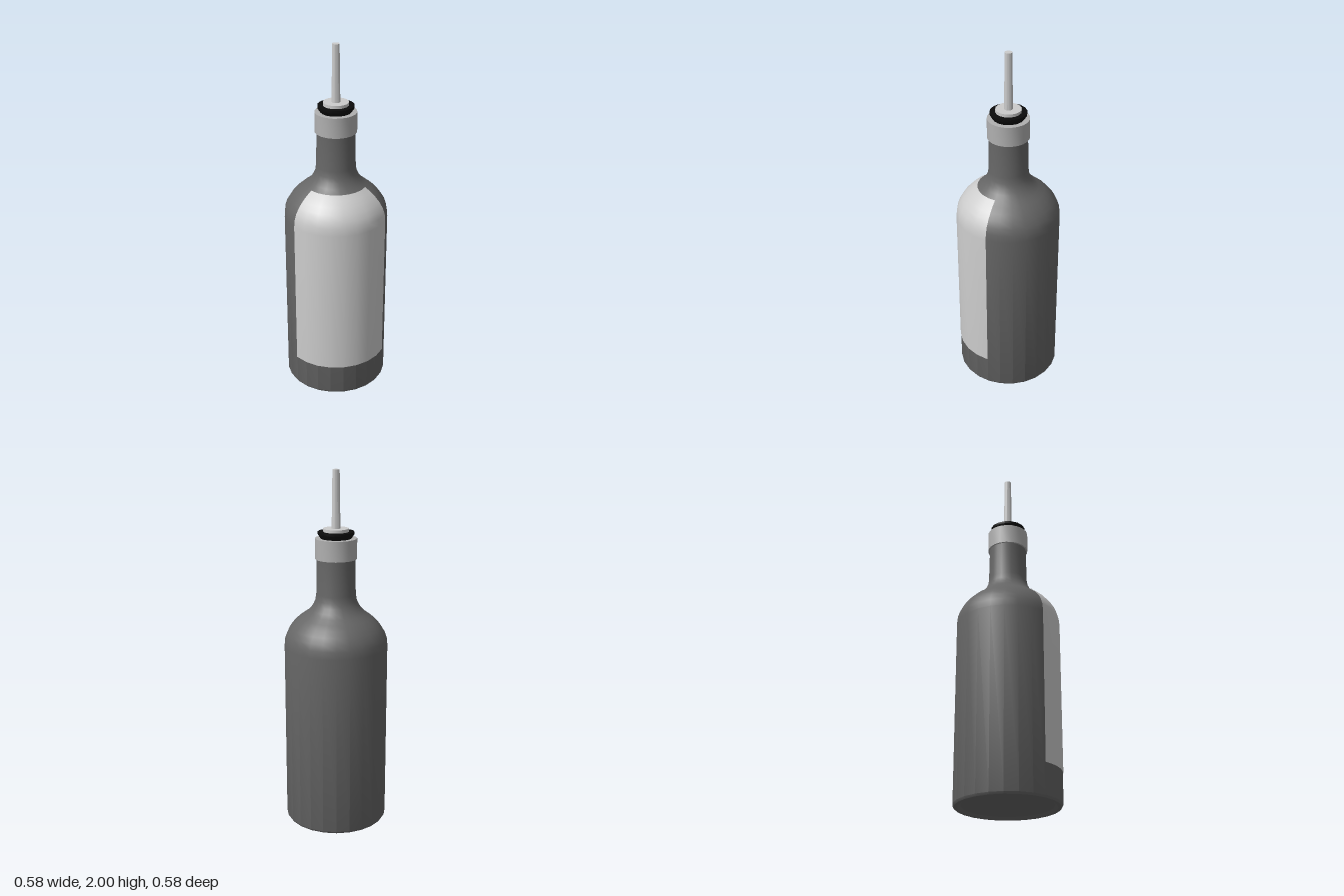
import * as THREE from 'three';
import { toCreasedNormals } from 'three/addons/utils/BufferGeometryUtils.js';

const START = THREE.MathUtils.degToRad(-61.8);

export function createModel() {
  const group = new THREE.Group();
  group.name = 'pourerBottle';

  const material = (color) => new THREE.MeshStandardMaterial({ color });
  const glass = material(0x666666);
  const paper = material(0xcccccc);
  const collarGrey = material(0xb0b0b0);
  const rubber = material(0x0c0c0c);
  const metal = material(0xcccccc);

  // Revolves a bottom-to-top list of [radius, height] pairs
  function lathe(name, profile, mat, segments, start = 0, sweep = Math.PI * 2) {
    const points = profile.map(([r, y]) => new THREE.Vector2(r, y));
    const geometry = toCreasedNormals(new THREE.LatheGeometry(points, segments, start, sweep), 0.6);
    const mesh = new THREE.Mesh(geometry, mat);
    mesh.name = name;
    group.add(mesh);
    return mesh;
  }

  // Shoulder curve, split where the label ends
  const lowerShoulder = [
    [0.288, 1.03], [0.284, 1.07], [0.272, 1.105], [0.252, 1.138],
    [0.226, 1.168], [0.198, 1.193], [0.168, 1.215],
  ];
  const upperShoulder = [
    [0.144, 1.238], [0.126, 1.264], [0.114, 1.292], [0.109, 1.325],
  ];

  // Bottle with a shallow recessed base
  lathe('bottle', [
    [0, 0.012], [0.245, 0.012], [0.262, 0], [0.28, 0], [0.288, 0.012],
    ...lowerShoulder, ...upperShoulder, [0.105, 1.53],
  ], glass, 24, START);

  // Label wraps a third of the bottle, just outside the glass
  const labelProfile = [[0.288, 0.18], ...lowerShoulder].map(([r, y]) => [
    r + 0.003, y + (y > 1.05 ? 0.002 : 0),
  ]);
  const label = lathe('label', labelProfile, paper, 8, START, Math.PI * 2 / 3);
  label.material.side = THREE.DoubleSide;

  // Collar around the mouth
  lathe('collar', [
    [0.1, 1.52], [0.115, 1.52], [0.115, 1.632], [0, 1.632],
  ], collarGrey, 20);

  // Tapered rubber stopper
  lathe('stopper', [
    [0.085, 1.632], [0.1, 1.655], [0.1, 1.668], [0, 1.668],
  ], rubber, 16);

  // Pourer flange and spout
  lathe('pourerFlange', [
    [0.07, 1.665], [0.07, 1.685], [0, 1.685],
  ], metal, 16);
  lathe('spout', [
    [0.024, 1.68], [0.0195, 2], [0, 2],
  ], metal, 16);

  return group;
}
